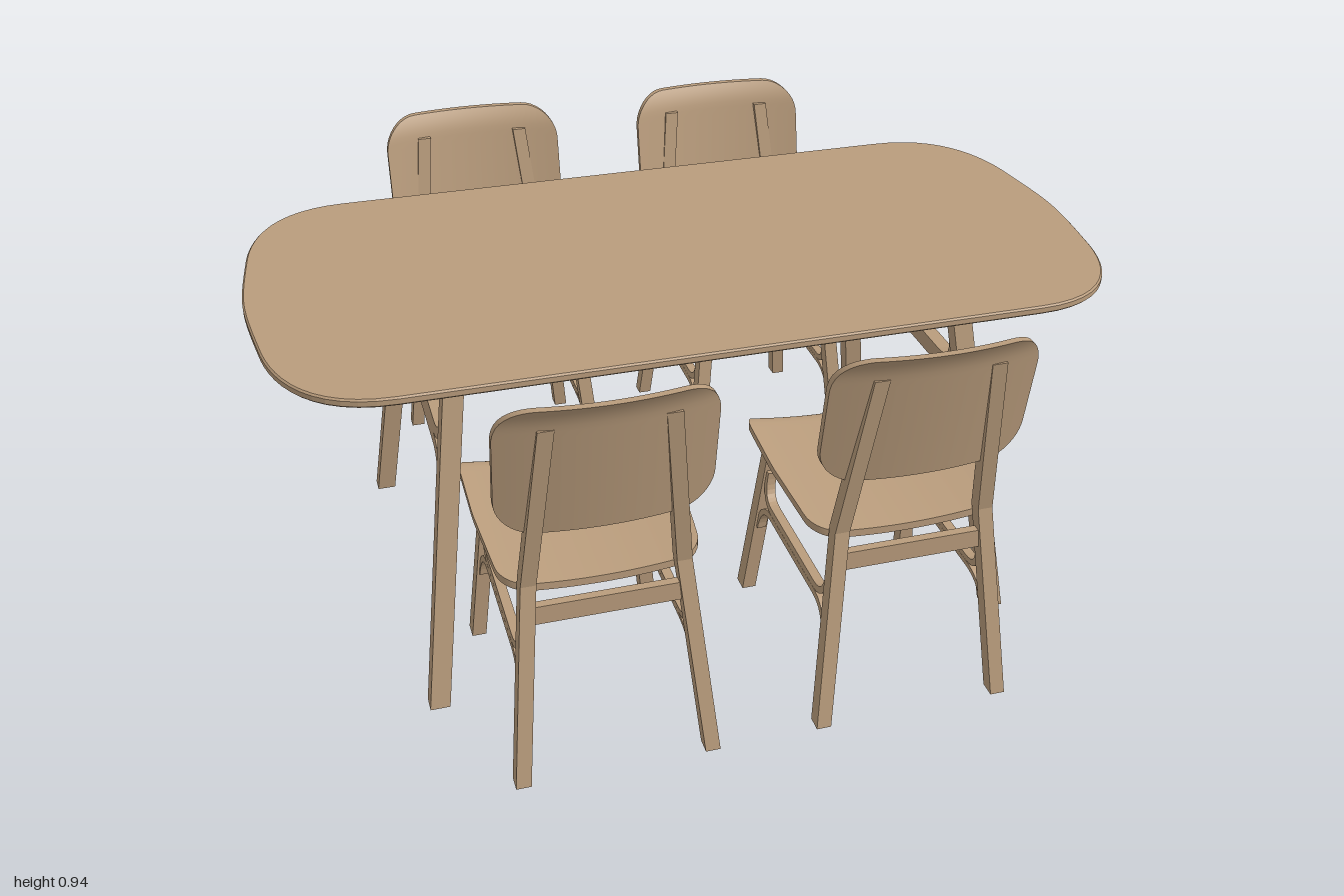
import * as THREE from 'three';

const wood = new THREE.MeshStandardMaterial({ color: 0xb99c7c });
wood.name = 'wood';

function part(name, geometry, parent) {
  const mesh = new THREE.Mesh(geometry, wood);
  mesh.name = name;
  parent.add(mesh);
  return mesh;
}

function board(name, w, h, d, x, y, z, parent) {
  part(name, new THREE.BoxGeometry(w, h, d), parent).position.set(x, y, z);
}

// Post with level ends, passing through rows of [x, y, z, width, depth] from bottom to top
function post(rows) {
  const n = rows.length - 1;
  const geo = new THREE.BoxGeometry(1, 1, 1, 1, n, 1);
  const p = geo.attributes.position;
  for (let i = 0; i < p.count; i++) {
    const [x, y, z, w, d] = rows[Math.round((p.getY(i) + 0.5) * n)];
    p.setXYZ(i, x + p.getX(i) * w, y, z + p.getZ(i) * d);
  }
  const flat = geo.toNonIndexed();
  flat.computeVertexNormals();
  return flat;
}

// Strip of bent wood following a path in the z-y plane; x leans with the legs
function bentStrip(path, thick, width, xAt) {
  const pts = path.getPoints(8);
  const side = (s) => pts.map((p, i) => {
    const a = pts[Math.max(i - 1, 0)], b = pts[Math.min(i + 1, pts.length - 1)];
    const t = b.clone().sub(a).normalize();
    return new THREE.Vector2(p.x - t.y * s, p.y + t.x * s);
  });
  const outline = new THREE.Shape([...side(thick / 2), ...side(-thick / 2).reverse()]);
  const geo = new THREE.ExtrudeGeometry(outline, { depth: width, bevelEnabled: false });
  geo.translate(0, 0, -width / 2).rotateY(-Math.PI / 2);
  const p = geo.attributes.position;
  for (let i = 0; i < p.count; i++) p.setX(i, p.getX(i) + xAt(p.getY(i)));
  geo.computeVertexNormals();
  return geo;
}

// Path from one leg, along a level run, to the other leg
function stretcherPath(a, ca, a2, b2, cb, b) {
  const path = new THREE.Path();
  path.moveTo(...a).quadraticCurveTo(...ca, ...a2);
  path.lineTo(...b2).quadraticCurveTo(...cb, ...b);
  return path;
}

// Thin moulded sheet with rounded corners: place(u, v, t, cornerInset) gives each point
function sheet(length, radius, place) {
  const geo = new THREE.BoxGeometry(2, 2, 1, 16, 28, 1);
  const p = geo.attributes.position;
  for (let i = 0; i < p.count; i++) {
    const v = Math.sin(p.getY(i) * Math.PI / 2);
    const gap = Math.max(radius - (1 - Math.abs(v)) * length / 2, 0);
    const inset = radius - Math.sqrt(Math.max(radius * radius - gap * gap, 0));
    p.setXYZ(i, ...place(p.getX(i), v, p.getZ(i) + 0.5, inset));
  }
  geo.computeVertexNormals();
  return geo;
}

function createTable() {
  const table = new THREE.Group();
  table.name = 'table';

  // Top with soft corners and slightly bowed ends
  const s = new THREE.Shape();
  s.moveTo(-0.72, -0.5).lineTo(0.72, -0.5);
  s.bezierCurveTo(0.9, -0.5, 0.96, -0.36, 0.978, -0.24);
  s.bezierCurveTo(0.992, -0.13, 1, -0.06, 1, 0);
  s.bezierCurveTo(1, 0.06, 0.992, 0.13, 0.978, 0.24);
  s.bezierCurveTo(0.96, 0.36, 0.9, 0.5, 0.72, 0.5);
  s.lineTo(-0.72, 0.5);
  s.bezierCurveTo(-0.9, 0.5, -0.96, 0.36, -0.978, 0.24);
  s.bezierCurveTo(-0.992, 0.13, -1, 0.06, -1, 0);
  s.bezierCurveTo(-1, -0.06, -0.992, -0.13, -0.978, -0.24);
  s.bezierCurveTo(-0.96, -0.36, -0.9, -0.5, -0.72, -0.5);
  const top = new THREE.ExtrudeGeometry(s, {
    depth: 0.012, bevelThickness: 0.004, bevelSize: 0.004, bevelOffset: -0.004,
    bevelSegments: 1, curveSegments: 12,
  });
  part('tableTop', top.rotateX(-Math.PI / 2).translate(0, 0.825, 0), table);

  for (const sx of [-1, 1]) {
    for (const sz of [-1, 1]) {
      part('tableLeg', post([
        [sx * 0.692, 0, sz * 0.47, 0.046, 0.042],
        [sx * 0.583, 0.822, sz * 0.342, 0.046, 0.042],
      ]), table);
    }
    // Paired bent stretchers between the legs at each end
    const xAt = (y) => sx * (0.692 - 0.133 * y);
    const upper = stretcherPath([0.342, 0.73], [0.355, 0.613], [0.26, 0.613],
      [-0.26, 0.613], [-0.355, 0.613], [-0.342, 0.73]);
    const lower = stretcherPath([0.384, 0.48], [0.36, 0.588], [0.26, 0.588],
      [-0.26, 0.588], [-0.36, 0.588], [-0.384, 0.48]);
    part('tableUpperStretcher', bentStrip(upper, 0.026, 0.034, xAt), table);
    part('tableLowerStretcher', bentStrip(lower, 0.024, 0.034, xAt), table);
    board('endApron', 0.025, 0.082, 0.66, sx * 0.585, 0.781, 0, table);
    board('longApron', 1.15, 0.082, 0.025, 0, 0.781, sx * 0.335, table);
  }
  return table;
}

function createChair() {
  const chair = new THREE.Group();
  chair.name = 'chair';
  const legX = (y) => 0.214 - 0.096 * y;

  for (const s of [-1, 1]) {
    // Rear leg kinks at the seat and runs on up behind the backrest
    part('rearLeg', post([
      [s * legX(0), 0, 0.775, 0.034, 0.038],
      [s * legX(0.48), 0.48, 0.703, 0.034, 0.035],
      [s * legX(0.888), 0.888, 0.769, 0.034, 0.032],
    ]), chair);
    part('frontLeg', post([
      [s * legX(0), 0, 0.232, 0.034, 0.042],
      [s * legX(0.487), 0.487, 0.282, 0.034, 0.036],
    ]), chair);
    // Paired bent side stretchers
    const upper = stretcherPath([0.293, 0.37], [0.284, 0.291], [0.35, 0.291],
      [0.64, 0.291], [0.713, 0.291], [0.7, 0.38]);
    const lower = stretcherPath([0.272, 0.2], [0.28, 0.275], [0.35, 0.275],
      [0.64, 0.275], [0.718, 0.275], [0.73, 0.2]);
    const xAt = (y) => s * legX(y);
    part('upperStretcher', bentStrip(upper, 0.016, 0.022, xAt), chair);
    part('lowerStretcher', bentStrip(lower, 0.015, 0.022, xAt), chair);
  }
  board('rearRail', 0.33, 0.045, 0.02, 0, 0.402, 0.712, chair);
  board('frontRail', 0.33, 0.045, 0.02, 0, 0.405, 0.275, chair);

  // Dished seat, narrower at the rear, with the front edge rolled down
  part('seat', sheet(0.46, 0.06, (u, v, t, inset) => {
    const z = 0.46 - v * 0.23;
    const w = 0.236 - 0.018 * Math.max((z - 0.45) / 0.24, 0) - inset;
    const x = u * w;
    const roll = Math.max((0.275 - z) / 0.045, 0);
    const y = 0.513 - 0.085 * (z - 0.23) - 0.02 * (1 - (x / 0.236) ** 2) - 0.026 * roll * roll;
    return [x, y - 0.018 * (1 - t), z];
  }), chair);

  // Backrest, hollowed across its width, leaning back and curling at the top
  part('backrest', sheet(0.33, 0.085, (u, v, t, inset) => {
    const y = 0.78 + v * 0.165;
    const x = u * (0.231 - inset);
    const curl = Math.max((y - 0.89) / 0.055, 0);
    const z = 0.69 + 0.19 * (y - 0.615) + 0.032 * (1 - (x / 0.231) ** 2) + 0.014 * curl * curl;
    return [x, y, z + 0.017 * t];
  }), chair);
  return chair;
}

export function createModel() {
  const model = new THREE.Group();
  model.name = 'diningSet';
  model.add(createTable());
  // Two chairs on each long side, facing the table
  for (const turn of [0, Math.PI]) {
    for (const x of [-0.345, 0.345]) {
      const chair = createChair();
      chair.position.x = x;
      chair.rotation.y = turn;
      model.add(chair);
    }
  }
  return model;
}
